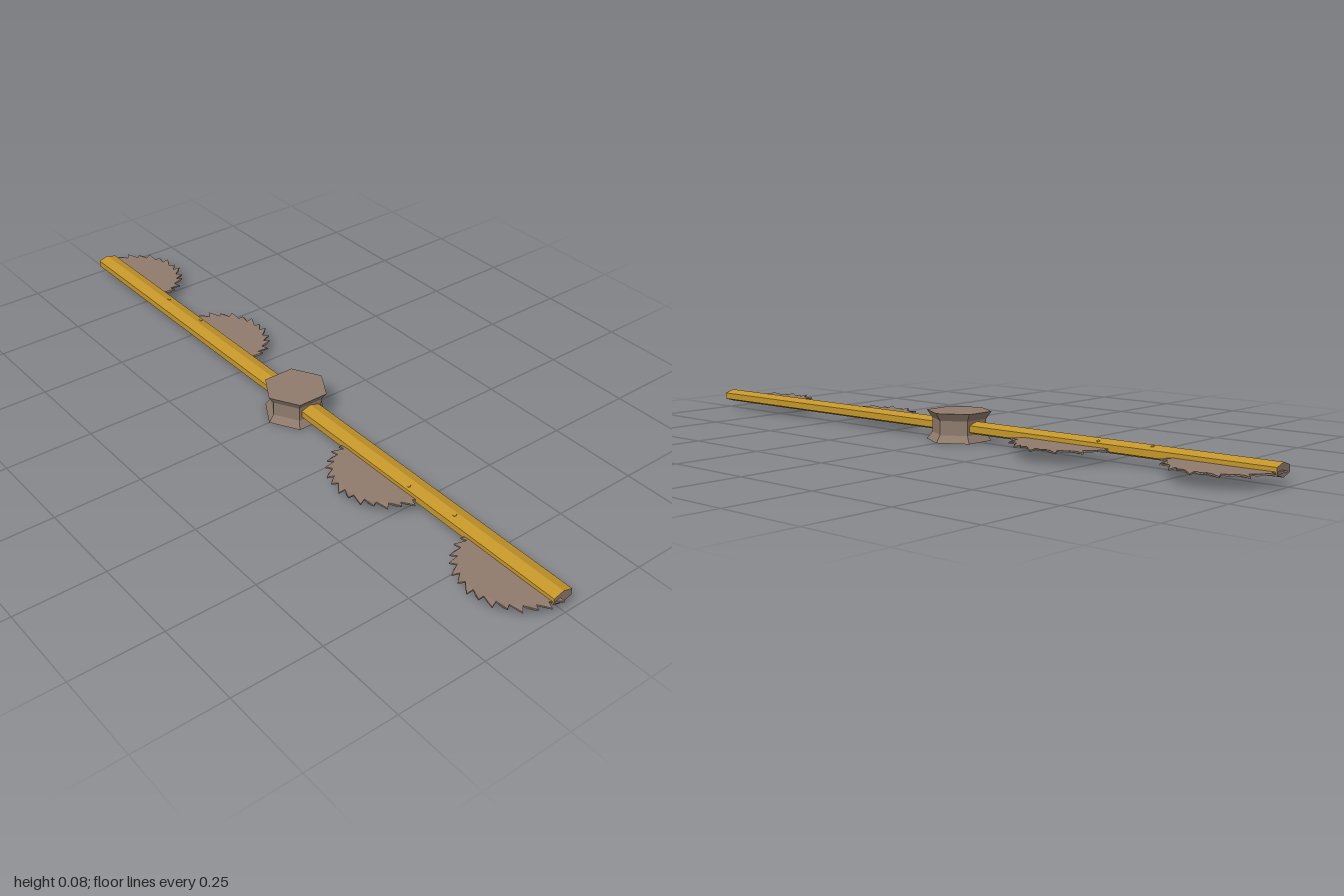
import * as THREE from 'three';

const mat = (name, color) => {
  const m = new THREE.MeshStandardMaterial({ color, flatShading: true });
  m.name = name;
  return m;
};

export function createModel() {
  const steel = mat('brown steel', 0x8f7b6c);
  const gold = mat('yellow paint', 0xc4962a);
  const slate = mat('grey underside', 0x757578);
  const model = new THREE.Group();
  const add = (parent, name, geo, material, x = 0, y = 0, z = 0) => {
    const mesh = new THREE.Mesh(geo, material);
    mesh.name = name;
    mesh.position.set(x, y, z);
    parent.add(mesh);
    return mesh;
  };

  // Six-sided hub, flared at both ends
  const profile = [[0.09, 0], [0.075, 0.02], [0.075, 0.059], [0.09, 0.08], [0, 0.08]]
    .map(([r, y]) => new THREE.Vector2(r, y));
  add(model, 'hub', new THREE.LatheGeometry(profile, 6, Math.PI / 2), steel);
  add(model, 'hubUnderside', new THREE.CircleGeometry(0.09, 6).rotateX(Math.PI / 2), slate);

  // Hexagonal beam with bare steel ends
  const section = new THREE.Shape([
    [0, 0.02], [0.029, 0.029], [0.029, 0.047], [0, 0.056], [-0.029, 0.047], [-0.029, 0.029],
  ].map(([x, y]) => new THREE.Vector2(x, y)));
  const beam = new THREE.ExtrudeGeometry(section, { depth: 1.974, bevelEnabled: false });
  add(model, 'beam', beam, [steel, gold], 0, 0, -0.987);

  // Half saw blade: raked teeth, set alternately up and down
  const teeth = 14, step = Math.PI / teeth, outline = [];
  for (let i = 0; i < teeth; i++) {
    const a = -Math.PI / 2 + i * step;
    for (const [r, t] of [[0.136, 0], [0.147, 0.55], [0.155, 0.95]]) {
      outline.push(new THREE.Vector2(r * Math.cos(a + t * step), r * Math.sin(a + t * step)));
    }
  }
  outline.push(new THREE.Vector2(0, 0.136));
  const blade = new THREE.ExtrudeGeometry(new THREE.Shape(outline), { depth: 0.004, bevelEnabled: false });
  const p = blade.attributes.position;
  for (let i = 0; i < p.count; i++) {
    const x = p.getX(i), y = p.getY(i), r = Math.hypot(x, y);
    if (r < 0.15) continue;
    const tooth = Math.floor((Math.atan2(y, x) + Math.PI / 2) / step);
    p.setZ(i, p.getZ(i) + (tooth % 2 ? 0.003 : -0.003));
  }
  blade.rotateX(-Math.PI / 2);
  blade.computeVertexNormals();

  // Two opposite arms, each with a pair of blades and small rivets
  const rivet = new THREE.CylinderGeometry(0.005, 0.006, 0.004, 6);
  for (const turn of [0, Math.PI]) {
    const arm = new THREE.Group();
    arm.name = turn ? 'frontArm' : 'backArm';
    arm.rotation.y = turn;
    model.add(arm);
    for (const z of [-0.845, -0.385]) add(arm, 'sawBlade', blade, steel, 0.005, 0.032, z);
    for (const [x, z] of [[0.008, -0.64], [0.018, -0.485]]) {
      add(arm, 'rivet', rivet, gold, x, 0.0555 - x * 0.31, z).rotation.z = -0.3;
    }
  }
  return model;
}
